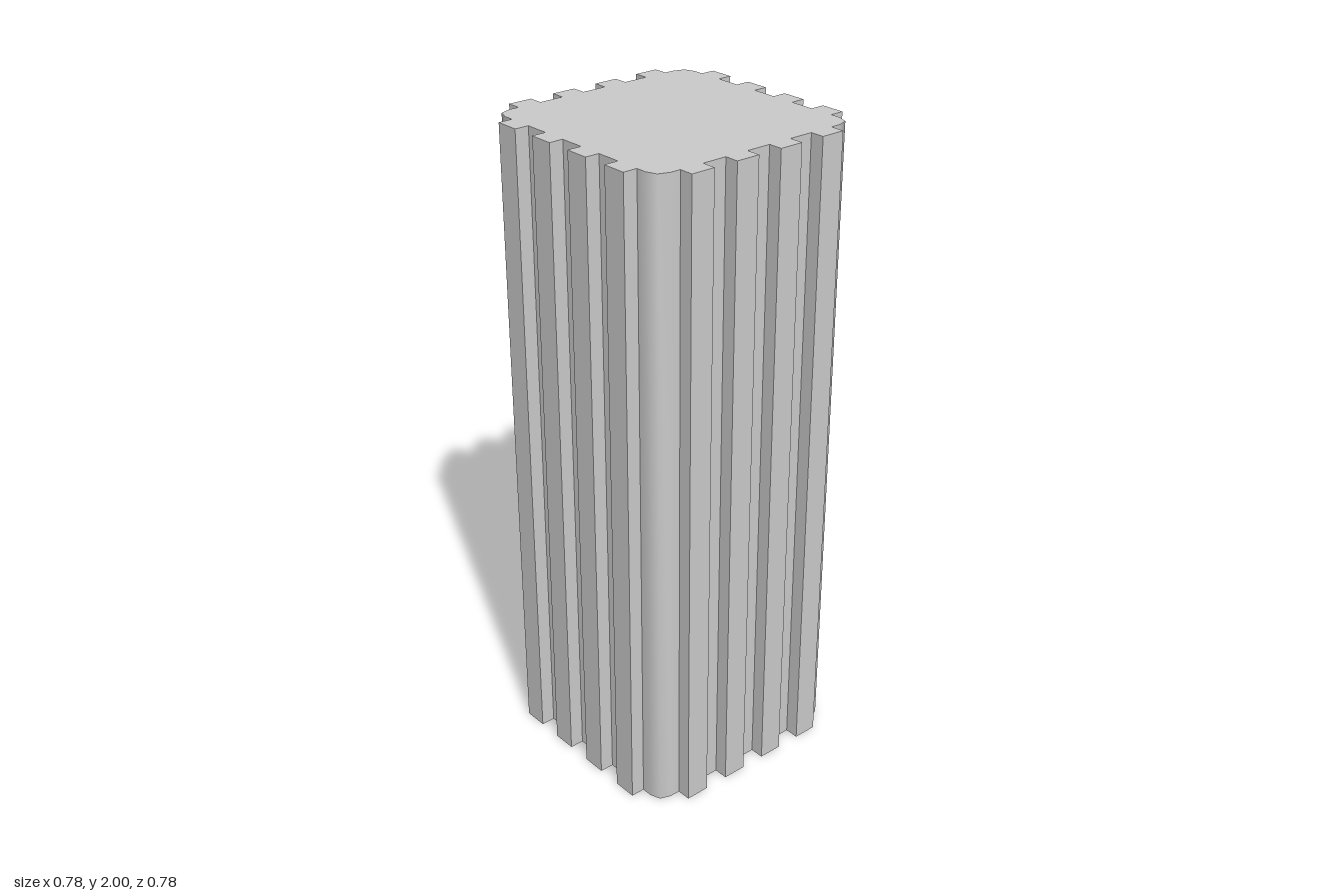
import * as THREE from 'three';
import { toCreasedNormals } from 'three/addons/utils/BufferGeometryUtils.js';

const HEIGHT = 2;
const CORE = 0.346;       // half width of the core
const OUTER = 0.39;       // half width across the ribs
const RIB_HALF = 0.038;
const RIB_CENTRES = [-0.2305, -0.077, 0.077, 0.2305];

// One side of the outline, running along +x at y = -CORE
function sideProfile() {
  const points = [[-0.334, -0.334], [-0.301, -CORE]];
  for (const c of RIB_CENTRES) {
    points.push(
      [c - RIB_HALF, -CORE], [c - RIB_HALF, -OUTER],
      [c + RIB_HALF, -OUTER], [c + RIB_HALF, -CORE]
    );
  }
  points.push([0.301, -CORE]);
  return points.map(([x, y]) => new THREE.Vector2(x, y));
}

export function createModel() {
  const group = new THREE.Group();
  group.name = 'ribbedColumn';

  // Four turned copies of the side close the outline
  const outline = [];
  const origin = new THREE.Vector2();
  for (let i = 0; i < 4; i++) {
    for (const p of sideProfile()) outline.push(p.rotateAround(origin, i * Math.PI / 2));
  }

  // Upright extrusion, soft only around the bevelled corners
  const extruded = new THREE.ExtrudeGeometry(new THREE.Shape(outline), {
    depth: HEIGHT, bevelEnabled: false, steps: 1
  });
  extruded.rotateX(-Math.PI / 2);

  const column = new THREE.Mesh(
    toCreasedNormals(extruded, Math.PI / 3),
    new THREE.MeshStandardMaterial({ color: 0xcccccc })
  );
  column.name = 'column';
  group.add(column);
  return group;
}
